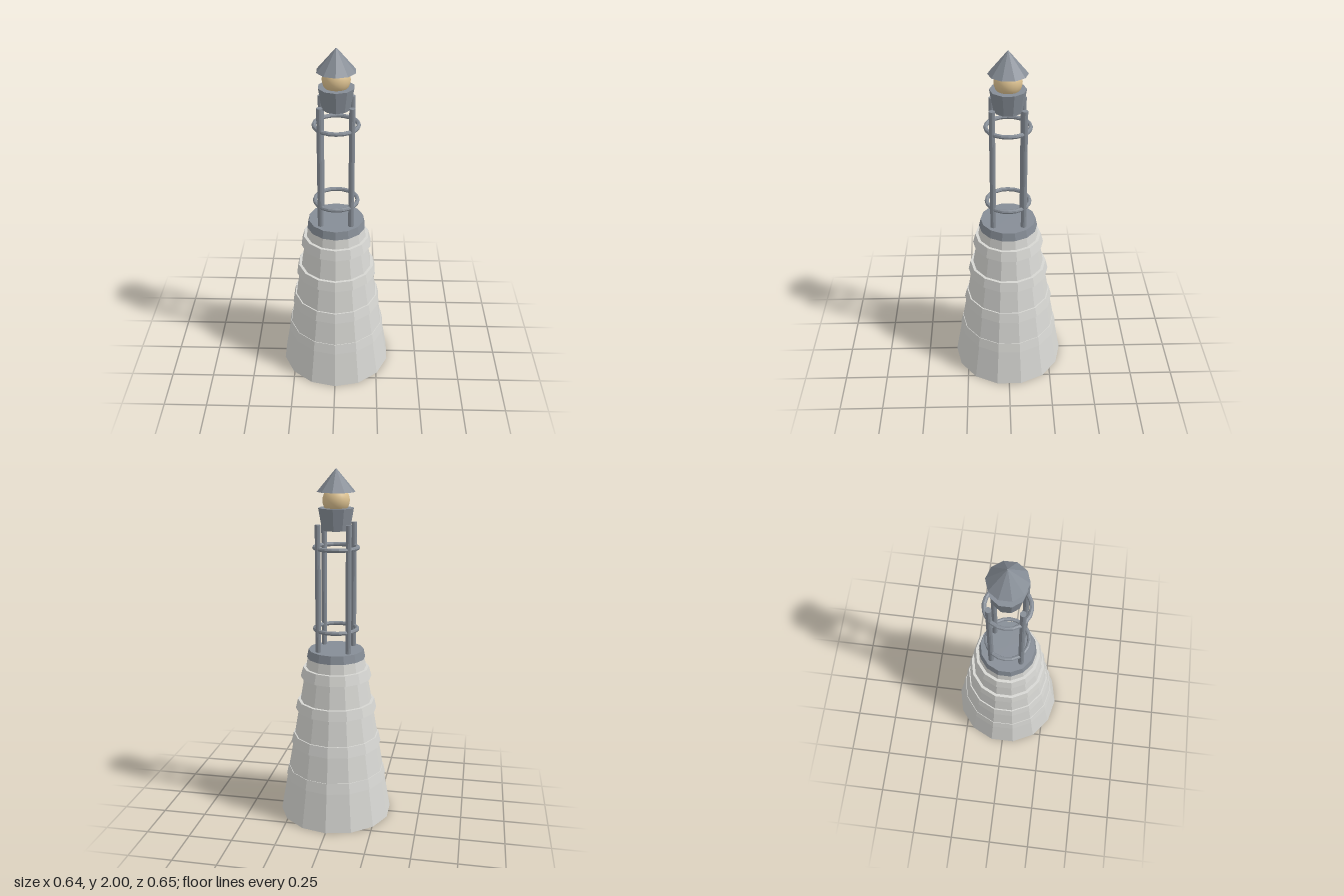
import * as THREE from 'three';

export function createModel() {
  const model = new THREE.Group();
  model.name = 'beaconTower';

  const flat = (name, color, flatShading = true) => {
    const m = new THREE.MeshStandardMaterial({ color, flatShading });
    m.name = name;
    return m;
  };
  const stone = flat('paleStone', 0xd6d6d2);
  const metal = flat('blueGreyMetal', 0x868d96);
  const glow = flat('warmLamp', 0xdcc190, false);

  const add = (name, geometry, material, x = 0, y = 0, z = 0) => {
    const mesh = new THREE.Mesh(geometry, material);
    mesh.name = name;
    mesh.position.set(x, y, z);
    model.add(mesh);
    return mesh;
  };
  // Tapered drum given by its bottom and top heights and radii
  const drum = (name, y0, y1, r0, r1, sides, material, x = 0, z = 0) =>
    add(name, new THREE.CylinderGeometry(r1, r0, y1 - y0, sides), material, x, (y0 + y1) / 2, z);

  // Conical body with four overlapping bands
  drum('body', 0, 0.96, 0.327, 0.161, 14, stone);
  const bands = [
    [0.225, 0.285, 0.294, 0.281],
    [0.433, 0.493, 0.263, 0.249],
    [0.643, 0.7, 0.235, 0.222],
    [0.837, 0.895, 0.204, 0.189],
  ];
  bands.forEach(([y0, y1, r0, r1], i) => drum(`band${i + 1}`, y0, y1, r0, r1, 14, stone));

  // Platform
  drum('platform', 0.953, 1.0, 0.167, 0.157, 14, metal);

  // Open frame: four posts and two hoops
  for (const x of [-0.085, 0.085])
    for (const z of [-0.085, 0.085])
      drum('post', 0.98, 1.711, 0.016, 0.016, 12, metal, x, z);
  for (const y of [1.12, 1.58]) {
    const hoop = add('hoop', new THREE.TorusGeometry(0.12, 0.012, 8, 20), metal, 0, y, 0);
    hoop.rotation.x = Math.PI / 2;
  }

  // Lantern: cup, lamp and pointed roof
  drum('lanternCup', 1.675, 1.795, 0.077, 0.098, 10, metal);
  add('lamp', new THREE.SphereGeometry(0.075, 20, 14), glow, 0, 1.835, 0);
  drum('roof', 1.88, 2.0, 0.106, 0.004, 10, metal);

  return model;
}
